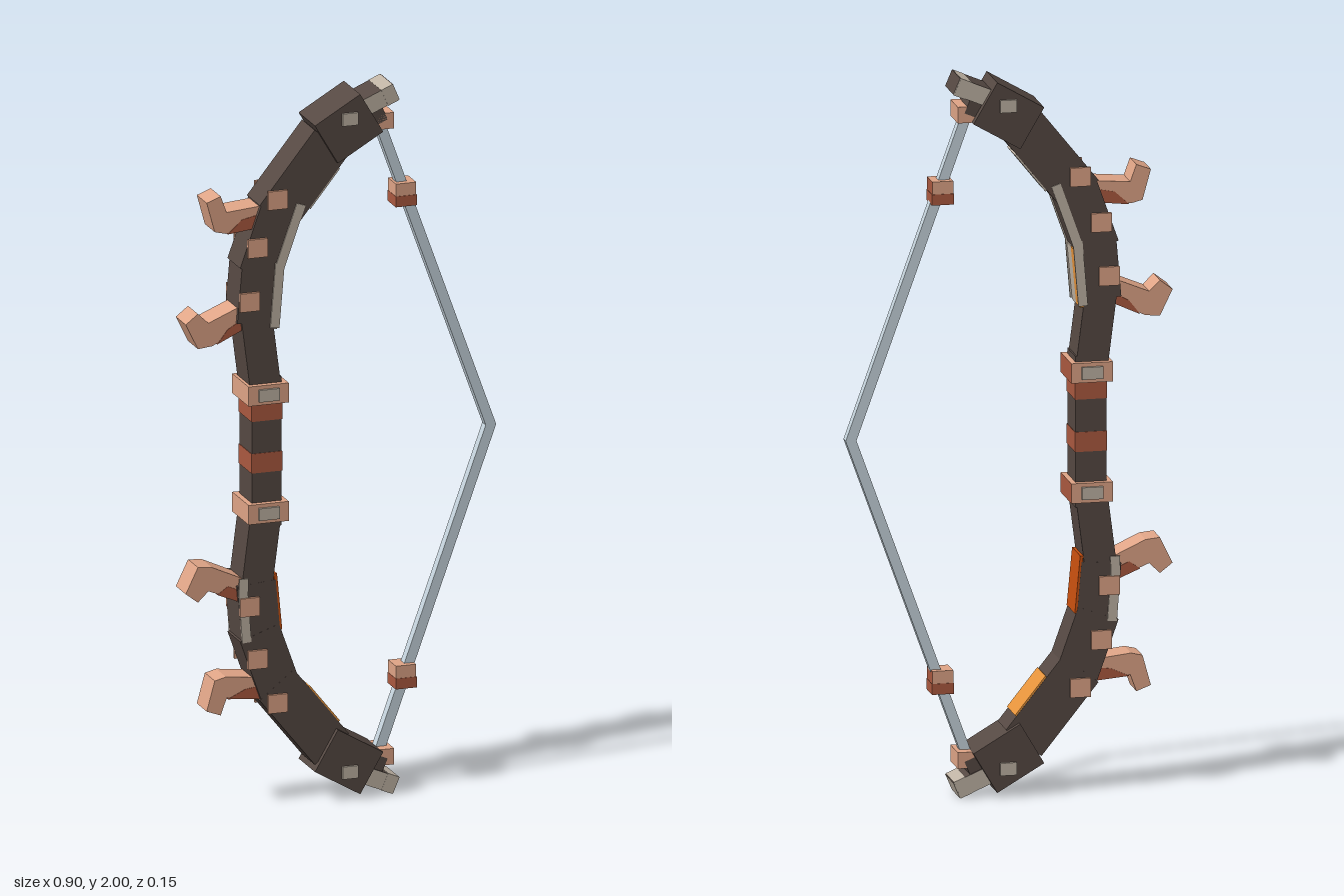
import * as THREE from 'three';

const mat = (name, color) => {
  const m = new THREE.MeshStandardMaterial({ color });
  m.name = name;
  return m;
};

export function createModel() {
  const dark = mat('dark wood', 0x564943);
  const copper = mat('copper', 0xe0a587);
  const rust = mat('rust', 0xac5a40);
  const grey = mat('grey plate', 0xc0b4a5);
  const steel = mat('string steel', 0xc8d6df);
  const deepOrange = mat('deep orange', 0xc9500f);
  const amber = mat('amber', 0xe8953c);

  const bow = new THREE.Group();
  bow.name = 'bow';

  // Box centred at x, y, z, turned about z
  function box(name, material, w, h, d, x, y, angle = 0, z = 0, parent = bow) {
    const mesh = new THREE.Mesh(new THREE.BoxGeometry(w, h, d), material);
    mesh.name = name;
    mesh.position.set(x, y, z);
    mesh.rotation.z = angle;
    parent.add(mesh);
  }

  // Box whose length runs between two points
  function beam(name, material, a, b, w, d, z, parent) {
    const dx = b[0] - a[0], dy = b[1] - a[1];
    box(name, material, w, Math.hypot(dx, dy), d,
      (a[0] + b[0]) / 2, (a[1] + b[1]) / 2, Math.atan2(-dx, dy), z, parent);
  }

  // Outline extruded evenly about z = 0
  function slab(name, material, points, d, parent) {
    const shape = new THREE.Shape(points.map(p => new THREE.Vector2(p[0], p[1])));
    const geo = new THREE.ExtrudeGeometry(shape, { depth: d, bevelEnabled: false });
    geo.translate(0, 0, -d / 2);
    const mesh = new THREE.Mesh(geo, material);
    mesh.name = name;
    parent.add(mesh);
  }

  // Grip with its wrapped bands
  box('grip', dark, 0.085, 0.42, 0.1, -0.222, 1);
  box('gripBand', rust, 0.088, 0.055, 0.103, -0.222, 0.972);
  box('gripBand', rust, 0.088, 0.05, 0.103, -0.222, 1.115);

  for (const s of [1, -1]) {
    const upper = s > 0;
    const limb = new THREE.Group();
    limb.name = upper ? 'upperLimb' : 'lowerLimb';
    bow.add(limb);
    const fy = y => 1 + s * (y - 1);
    const P = (x, y) => [x, fy(y)];

    // Curved limb made of straight segments
    const nodes = [[-0.222, 1.16], [-0.25, 1.38], [-0.238, 1.52], [-0.185, 1.67], [-0.045, 1.845]];
    const widths = [0.088, 0.11, 0.118, 0.125];
    for (let i = 0; i < 4; i++) {
      const a = new THREE.Vector2(...nodes[i]), b = new THREE.Vector2(...nodes[i + 1]);
      const ext = b.clone().sub(a).normalize().multiplyScalar(0.014);
      a.sub(ext);
      b.add(ext);
      beam('limbSegment', dark, P(a.x, a.y), P(b.x, b.y), widths[i], 0.1 + 0.001 * i, 0, limb);
    }

    // Inlays on the side facing the string
    const innerB = [P(-0.197, 1.345), P(-0.182, 1.505)];
    const innerC = [P(-0.1, 1.676), P(-0.016, 1.781)];
    if (upper) {
      beam('innerInlay', grey, ...innerB, 0.009, 0.05, 0.025, limb);
      beam('innerInlay', amber, ...innerB, 0.009, 0.05, -0.025, limb);
    } else {
      beam('innerInlay', deepOrange, ...innerB, 0.009, 0.1, 0, limb);
    }
    beam('innerInlay', upper ? grey : amber, ...innerC, 0.009, 0.1, 0, limb);

    // Thin grey strips on the limb faces: inner edge above, outer edge below
    const strips = upper
      ? [[[-0.2, 1.35], [-0.185, 1.53]], [[-0.185, 1.52], [-0.125, 1.69]]]
      : [[[-0.288, 1.35], [-0.29, 1.4]], [[-0.29, 1.39], [-0.28, 1.53]]];
    const studs = [[-0.192, 1.71], [-0.25, 1.58], [-0.272, 1.43]];
    for (const side of [1, -1]) {
      for (const [a, b] of strips) {
        beam('edgeStrip', grey, P(...a), P(...b), 0.026, 0.006, side * 0.0515, limb);
      }
      for (const [x, y] of studs) {
        box('stud', copper, 0.056, 0.052, 0.009, x, fy(y), 0, side * 0.0545, limb);
      }
      box('ringPlate', grey, 0.058, 0.034, 0.009, -0.222, fy(1.167), 0, side * 0.0695, limb);
    }

    // Ring where the grip meets the limb
    box('gripRing', [rust, copper, copper, rust, copper, copper],
      0.115, 0.055, 0.132, -0.222, fy(1.167), 0, 0, limb);

    // Hooked spikes on the outside, with rusty undersides at the root
    const hooks = [
      [[-0.26, 1.43], [-0.385, 1.378], [-0.415, 1.407], [-0.45, 1.38], [-0.415, 1.308], [-0.375, 1.312], [-0.26, 1.365]],
      [[-0.24, 1.693], [-0.333, 1.685], [-0.35, 1.732], [-0.39, 1.717], [-0.367, 1.633], [-0.335, 1.625], [-0.24, 1.636]],
    ];
    const roots = upper
      ? [[[-0.26, 1.395], [-0.33, 1.355], [-0.36, 1.316], [-0.26, 1.362]],
        [[-0.24, 1.67], [-0.29, 1.66], [-0.33, 1.623], [-0.24, 1.633]]]
      : [[[-0.26, 1.4], [-0.33, 1.37], [-0.36, 1.391], [-0.26, 1.433]],
        [[-0.24, 1.66], [-0.28, 1.665], [-0.33, 1.688], [-0.24, 1.696]]];
    for (let i = 0; i < 2; i++) {
      slab('spike', copper, hooks[i].map(p => P(...p)), 0.08, limb);
      slab('spikeRoot', rust, roots[i].map(p => P(...p)), 0.083, limb);
    }

    // Cap, its pin and the tip: dark core with grey cheeks and a grey band
    box('tipCap', dark, 0.15, 0.13, 0.132, 0.008, fy(1.893), s * 0.53, 0, limb);
    box('tipPin', grey, 0.045, 0.035, 0.146, 0.01, fy(1.921), 0, 0, limb);
    box('tipNeck', dark, 0.07, 0.07, 0.09, 0.08, fy(1.92), s * 0.4, 0, limb);
    const end = upper ? dark : grey;
    box('tip', [end, dark, dark, dark, grey, grey], 0.112, 0.048, 0.1, 0.097, fy(1.957), s * 0.4, 0, limb);
    box('tipBand', grey, 0.034, 0.05, 0.102, 0.131, fy(1.971), s * 0.4, 0, limb);

    // String with its knot and bead
    beam('string', steel, P(0.105, 1.91), P(0.434, 0.995), 0.028, 0.028, 0, limb);
    box('stringKnot', copper, 0.055, 0.045, 0.09, 0.117, fy(1.897), 0, 0, limb);
    box('stringBead', [rust, copper, copper, rust, copper, copper],
      0.058, 0.064, 0.064, 0.183, fy(1.68), 0, 0, limb);
    box('beadBand', rust, 0.06, 0.03, 0.067, 0.183, fy(1.68) - 0.018, 0, 0, limb);
  }

  return bow;
}
